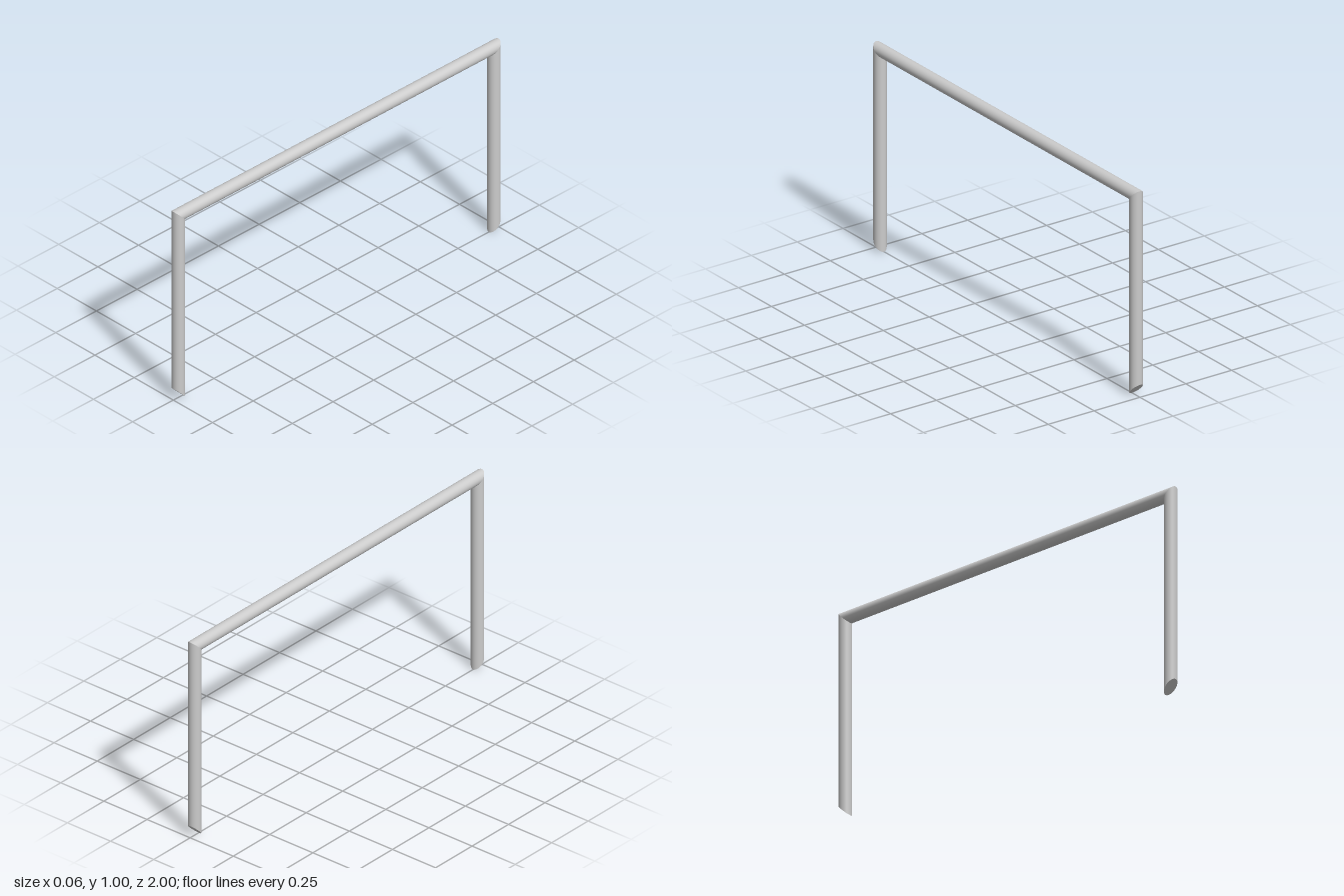
import * as THREE from 'three';

const R = 0.03;      // tube radius
const REACH = 0.97;  // height and half length measured along the tube centre line

// Round tube along y whose two ends are cut on a slope in z
function miteredTube(name, length, topSlope, bottomSlope, open) {
  const geo = new THREE.CylinderGeometry(R, R, length, 40, 1, open);
  const pos = geo.attributes.position;
  const nor = geo.attributes.normal;
  const n = new THREE.Vector3();
  for (let i = 0; i < pos.count; i++) {
    const top = pos.getY(i) > 0;
    const slope = top ? topSlope : bottomSlope;
    pos.setY(i, pos.getY(i) + slope * pos.getZ(i));
    // tilt the flat end faces' normals with the cut
    if (Math.abs(nor.getY(i)) > 0.5) {
      n.set(0, 1, -slope).normalize().multiplyScalar(top ? 1 : -1);
      nor.setXYZ(i, n.x, n.y, n.z);
    }
  }
  const mesh = new THREE.Mesh(geo, new THREE.MeshStandardMaterial({ color: 0xcccccc }));
  mesh.name = name;
  return mesh;
}

export function createModel() {
  const group = new THREE.Group();
  group.name = 'tubeFrame';

  // Horizontal bar, mitred at 45 degrees at both ends
  const bar = miteredTube('topBar', 2 * REACH, -1, 1, true);
  bar.rotation.x = Math.PI / 2;
  bar.position.y = REACH;
  group.add(bar);

  // Legs: mitred at the top, slanted outwards and up at the foot
  for (const s of [1, -1]) {
    const leg = miteredTube(s > 0 ? 'frontLeg' : 'backLeg', REACH - R, s, s, false);
    leg.position.set(0, (REACH + R) / 2, s * REACH);
    group.add(leg);
  }
  return group;
}
